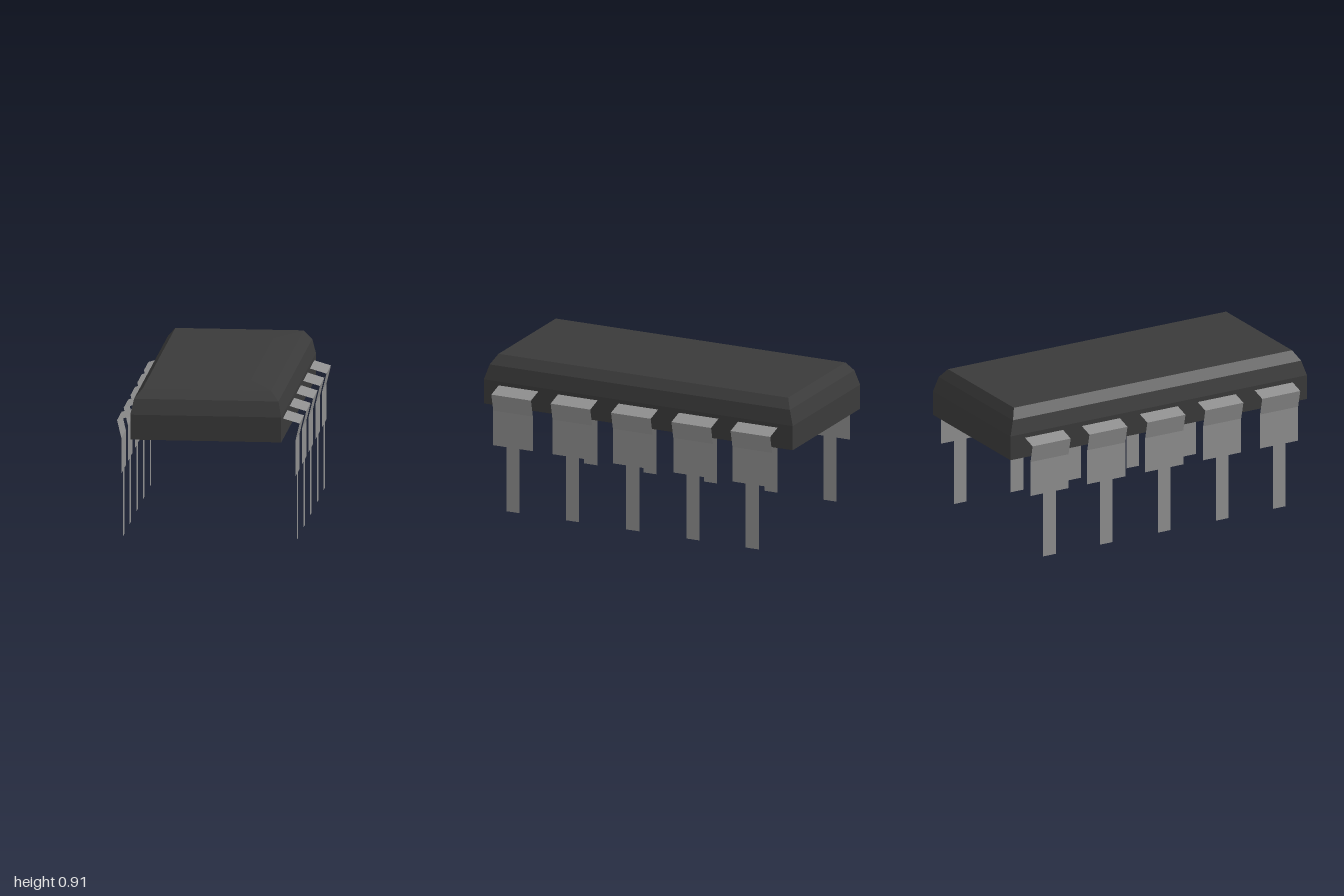
import * as THREE from 'three';

const bodyMaterial = new THREE.MeshStandardMaterial({ color: 0x3a3a3a, flatShading: true });
const legMaterial = new THREE.MeshStandardMaterial({ color: 0x8f8f8f, flatShading: true, side: THREE.DoubleSide });

function geometryFrom(positions, indices) {
  const geometry = new THREE.BufferGeometry();
  geometry.setAttribute('position', new THREE.Float32BufferAttribute(positions, 3));
  geometry.setIndex(indices);
  const flat = geometry.toNonIndexed();
  flat.computeVertexNormals();
  return flat;
}

// Closed block lofted through rectangles: [y, half width, half length]
function loftRectangles(rings) {
  const positions = [], indices = [];
  const corners = [[-1, 1], [1, 1], [1, -1], [-1, -1]];
  for (const [y, w, l] of rings) for (const [sx, sz] of corners) positions.push(sx * w, y, sz * l);
  for (let i = 0; i < rings.length - 1; i++) {
    for (let k = 0; k < 4; k++) {
      const a = i * 4 + k, b = i * 4 + (k + 1) % 4;
      indices.push(a, b, b + 4, a, b + 4, a + 4);
    }
  }
  const t = (rings.length - 1) * 4;
  indices.push(t, t + 1, t + 2, t, t + 2, t + 3, 0, 2, 1, 0, 3, 2);
  return geometryFrom(positions, indices);
}

// Thin bent sheet of constant width along z, following [x, y] points
function bentStrip(points, width) {
  const positions = [], indices = [];
  for (const [x, y] of points) positions.push(x, y, width / 2, x, y, -width / 2);
  for (let i = 0; i < points.length - 1; i++) {
    const a = i * 2;
    indices.push(a, a + 2, a + 3, a, a + 3, a + 1);
  }
  return geometryFrom(positions, indices);
}

export function createModel() {
  const model = new THREE.Group();
  model.name = 'chipPackage';

  // Moulded body with bevelled shoulders and a faintly domed top
  const body = new THREE.Mesh(loftRectangles([
    [0.61, 0.44, 1.0],
    [0.757, 0.44, 1.0],
    [0.846, 0.421, 0.972],
    [0.902, 0.374, 0.938],
    [0.909, 0.225, 0.65],
  ]), bodyMaterial);
  body.name = 'body';
  body.position.x = -0.005;
  model.add(body);

  // Two rows of bent sheet-metal legs
  const legZ = [-0.774, -0.391, 0, 0.391, 0.775];
  for (const side of [1, -1]) {
    const shoulderGeometry = bentStrip(
      [[0.42, 0.738], [0.532, 0.705], [0.507, 0.6], [0.507, 0.39]].map(([x, y]) => [side * x, y]), 0.257);
    const pinGeometry = bentStrip([[side * 0.507, 0.39], [side * 0.507, 0]], 0.085);
    legZ.forEach((z, i) => {
      const leg = new THREE.Group();
      leg.name = `${side > 0 ? 'left' : 'right'}Leg${i + 1}`;
      const shoulder = new THREE.Mesh(shoulderGeometry, legMaterial);
      shoulder.name = 'shoulder';
      const pin = new THREE.Mesh(pinGeometry, legMaterial);
      pin.name = 'pin';
      leg.add(shoulder, pin);
      leg.position.z = z;
      model.add(leg);
    });
  }
  return model;
}
